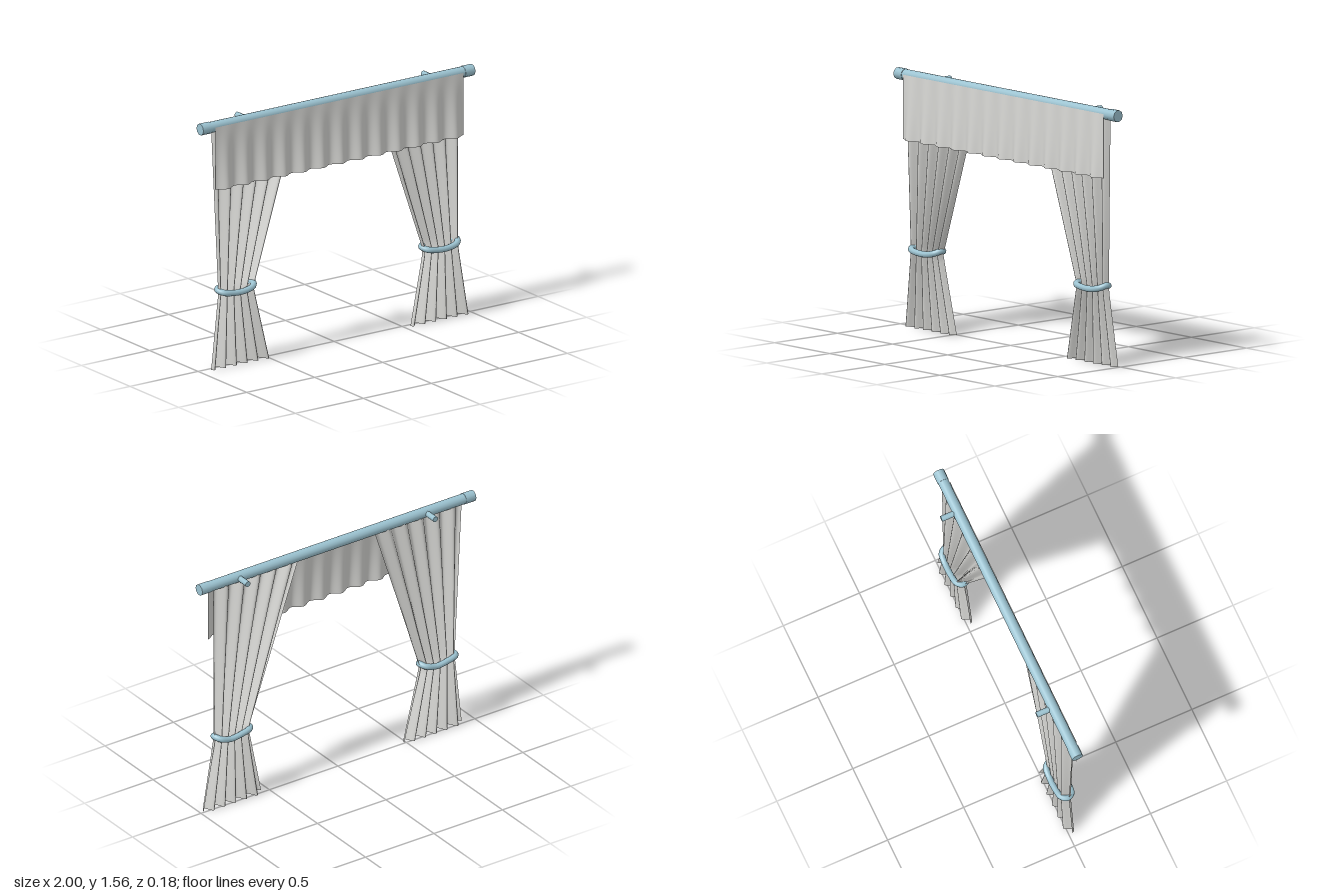
import * as THREE from 'three';

const fabric = new THREE.MeshStandardMaterial({ color: 0xd5d5d2, side: THREE.DoubleSide });
fabric.name = 'pale grey fabric';
const blue = new THREE.MeshStandardMaterial({ color: 0x9cc3d1 });
blue.name = 'soft blue';

const ROD_Y = 1.525, ROD_Z = 0.02;

function add(group, name, geometry, material) {
  const mesh = new THREE.Mesh(geometry, material);
  mesh.name = name;
  group.add(mesh);
  return mesh;
}

// Cloth sheet: rule(u, v) gives a point, u across and v upward
function cloth(cols, rows, rule) {
  const g = new THREE.PlaneGeometry(1, 1, cols, rows);
  const p = g.attributes.position;
  for (let i = 0; i < p.count; i++) p.setXYZ(i, ...rule(p.getX(i) + 0.5, p.getY(i) + 0.5));
  g.computeVertexNormals();
  return g;
}

// Gathered curtain: straight edges between [y, xLeft, xRight] stations, bottom to top
function curtain(stations) {
  return cloth(100, 32, (u, v) => {
    const y = v * 1.51;
    const k = y < stations[1][0] ? 0 : 1;
    const [a, b] = [stations[k], stations[k + 1]];
    const t = (y - a[0]) / (b[0] - a[0]);
    const left = THREE.MathUtils.lerp(a[1], b[1], t);
    const right = THREE.MathUtils.lerp(a[2], b[2], t);
    const z = 0.0125 + 0.027 * Math.sin(u * Math.PI * 2 * 5.5 + 0.4);
    return [left + (right - left) * u, y, z];
  });
}

// Slightly sagging cord loop around a gathered curtain
function tieBack(cx, cy) {
  const loop = [
    [-0.127, 0.012, 0.015], [-0.105, 0.002, 0.052], [-0.04, -0.008, 0.06], [0.04, -0.008, 0.06],
    [0.105, 0.006, 0.05], [0.127, 0.02, 0.018], [0.105, 0.012, -0.018], [0.04, -0.004, -0.026],
    [-0.04, 0.004, -0.026], [-0.105, 0.014, -0.016],
  ].map(([x, y, z]) => new THREE.Vector3(cx + x, cy + y, z));
  return new THREE.TubeGeometry(new THREE.CatmullRomCurve3(loop, true), 64, 0.019, 10, true);
}

export function createModel() {
  const model = new THREE.Group();
  model.name = 'curtains';

  // Rod with end caps
  const rod = add(model, 'rod', new THREE.CylinderGeometry(0.033, 0.033, 1.9, 16), blue);
  rod.rotation.z = Math.PI / 2;
  rod.position.set(0, ROD_Y, ROD_Z);
  for (const side of [-1, 1]) {
    const cap = add(model, side > 0 ? 'leftRodCap' : 'rightRodCap',
      new THREE.CylinderGeometry(0.036, 0.036, 0.07, 10), blue);
    cap.rotation.z = Math.PI / 2;
    cap.position.set(side * 0.965, ROD_Y, ROD_Z);
  }

  // Wall brackets behind the rod
  for (const [name, x] of [['rightBracket', -0.65], ['leftBracket', 0.72]]) {
    const bracket = add(model, name, new THREE.CylinderGeometry(0.018, 0.018, 0.11, 10), blue);
    bracket.rotation.x = Math.PI / 2;
    bracket.position.set(x, ROD_Y, -0.035);
  }

  // Valance: folds grow deeper toward the lower edge
  add(model, 'valance', cloth(208, 10, (u, v) => [
    -0.91 + 1.82 * u, 1.14 + 0.39 * v,
    0.056 + (1 - v) * 0.033 * (0.5 - 0.5 * Math.cos(u * Math.PI * 2 * 13)),
  ]), fabric);

  // Curtains and their tie-backs
  add(model, 'rightCurtain',
    curtain([[0, -0.92, -0.485], [0.47, -0.868, -0.607], [1.51, -0.92, -0.27]]), fabric);
  add(model, 'leftCurtain',
    curtain([[0, 0.545, 0.98], [0.46, 0.637, 0.895], [1.51, 0.27, 0.91]]), fabric);
  add(model, 'rightTieBack', tieBack(-0.737, 0.475), blue);
  add(model, 'leftTieBack', tieBack(0.763, 0.463), blue);

  return model;
}
